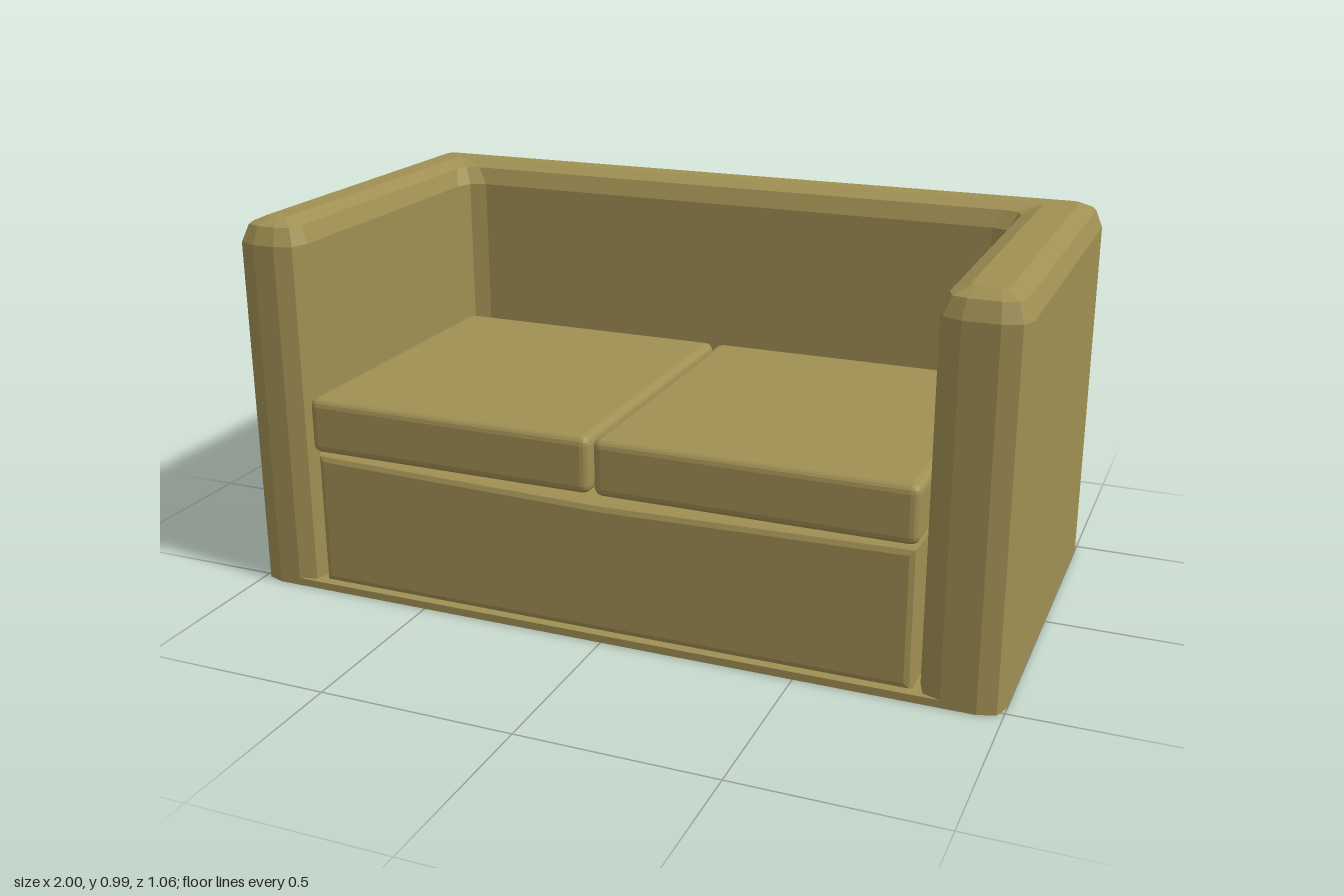
import * as THREE from 'three';
import { RoundedBoxGeometry } from 'three/addons/geometries/RoundedBoxGeometry.js';
import { mergeGeometries } from 'three/addons/utils/BufferGeometryUtils.js';

const fabric = new THREE.MeshStandardMaterial({ color: 0xa09054, flatShading: true });

// Frame plan corners: x, z, inward direction in x and z
const CORNERS = [
  [-1, -0.53, 1, 1], [1, -0.53, -1, 1], [1, 0.53, -1, -1],
  [0.795, 0.53, 1, -1], [0.795, -0.355, 1, -1], [-0.82, -0.355, -1, -1],
  [-0.82, 0.53, -1, -1], [-1, 0.53, 1, -1],
];

// Plan outline moved inward by `inset`, each corner eased with three points
function outline(corners, inset) {
  const base = corners.map(([x, z, sx, sz]) => new THREE.Vector2(x + sx * inset, z + sz * inset));
  const r = 0.06 - inset * 0.7;
  return base.flatMap((p, i) => {
    const prev = base[(i + base.length - 1) % base.length];
    const next = base[(i + 1) % base.length];
    const a = prev.clone().sub(p).setLength(r);
    const b = next.clone().sub(p).setLength(r);
    const mid = p.clone().addScaledVector(a, 0.26).addScaledVector(b, 0.26);
    return [p.clone().add(a), mid, p.clone().add(b)];
  });
}

const toShape = (pts) => new THREE.Shape(pts.map((p) => new THREE.Vector2(p.x, -p.y)));

// Arms and back: one U-shaped wall lofted upward with an eased top edge
function frameGeometry() {
  const levels = [[0.02, 0], [0.925, 0], [0.97, 0.018], [0.988, 0.06]];
  const rings = levels.map(([y, inset]) =>
    outline(CORNERS, inset).map((p) => [p.x, y, p.y]));
  const pos = [];
  for (let l = 0; l < rings.length - 1; l++) {
    const n = rings[l].length;
    for (let i = 0; i < n; i++) {
      const j = (i + 1) % n;
      const a = rings[l][i], b = rings[l][j], c = rings[l + 1][j], d = rings[l + 1][i];
      pos.push(...a, ...d, ...c, ...a, ...c, ...b);
    }
  }
  const wall = new THREE.BufferGeometry();
  wall.setAttribute('position', new THREE.Float32BufferAttribute(pos, 3));
  wall.computeVertexNormals();
  const [topY, topInset] = levels[levels.length - 1];
  const cap = new THREE.ShapeGeometry(toShape(outline(CORNERS, topInset)))
    .rotateX(-Math.PI / 2).translate(0, topY, 0).toNonIndexed();
  cap.deleteAttribute('uv');
  return mergeGeometries([wall, cap]);
}

// Floor plate with the same eased outer corners
function plateGeometry() {
  const outer = [0, 1, 2, 7].map((i) => CORNERS[i]);
  return new THREE.ExtrudeGeometry(toShape(outline(outer, 0)), { depth: 0.02, bevelEnabled: false })
    .rotateX(-Math.PI / 2);
}

// Seat base: bevelled block whose top dips slightly in the middle
function seatBaseGeometry() {
  const b = 0.018;
  const shape = new THREE.Shape([
    [-0.8 + b, 0.024 + b], [0.785 - b, 0.024 + b], [0.785 - b, 0.382 - b],
    [0, 0.366 - b], [-0.8 + b, 0.382 - b],
  ].map(([x, y]) => new THREE.Vector2(x, y)));
  return new THREE.ExtrudeGeometry(shape, {
    depth: 0.86 - 2 * b, bevelThickness: b, bevelSize: b, bevelSegments: 2,
  }).translate(0, 0, -0.335 + b);
}

// Box cushion spanning x0 to x1
function cushionGeometry(x0, x1) {
  return new RoundedBoxGeometry(x1 - x0, 0.148, 0.853, 2, 0.022)
    .translate((x0 + x1) / 2, 0.458, 0.0965);
}

export function createModel() {
  const sofa = new THREE.Group();
  sofa.name = 'sofa';
  const add = (name, geometry) => {
    const mesh = new THREE.Mesh(geometry, fabric);
    mesh.name = name;
    sofa.add(mesh);
  };
  add('armsAndBack', frameGeometry());
  add('floorPlate', plateGeometry());
  add('seatBase', seatBaseGeometry());
  add('rightCushion', cushionGeometry(-0.817, -0.029));
  add('leftCushion', cushionGeometry(-0.019, 0.785));
  return sofa;
}
